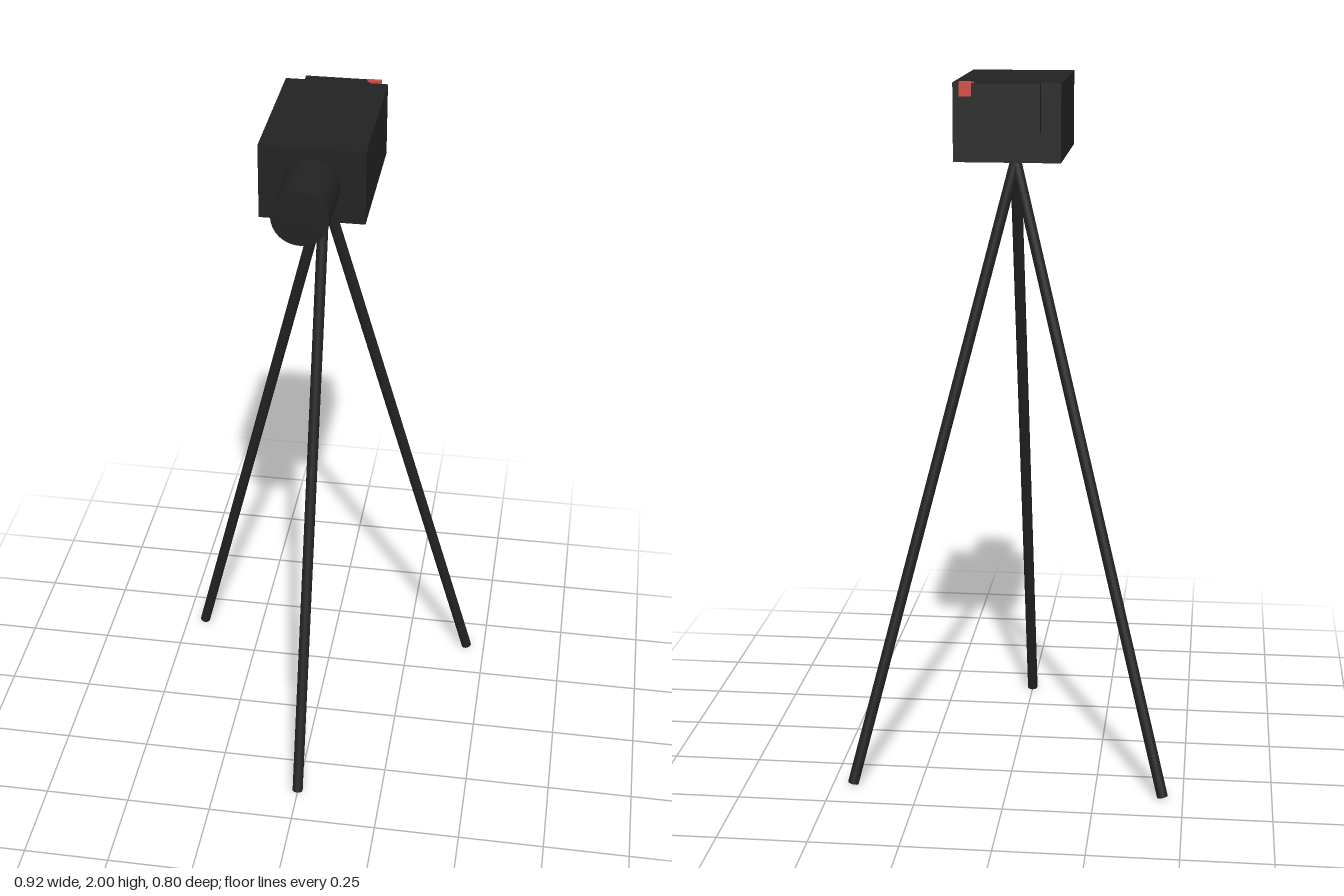
import * as THREE from 'three';

export function createModel() {
  const model = new THREE.Group();
  const black = new THREE.MeshStandardMaterial({ color: 0x222222 });
  black.name = 'matt black';
  const red = new THREE.MeshStandardMaterial({ color: 0xd04a44 });
  red.name = 'signal red';

  const add = (name, geometry, material, x, y, z) => {
    const mesh = new THREE.Mesh(geometry, material);
    mesh.name = name;
    mesh.position.set(x, y, z);
    model.add(mesh);
    return mesh;
  };

  // Box from its low and high corners
  const box = (name, material, lo, hi) => add(
    name,
    new THREE.BoxGeometry(hi[0] - lo[0], hi[1] - lo[1], hi[2] - lo[2]),
    material,
    (lo[0] + hi[0]) / 2, (lo[1] + hi[1]) / 2, (lo[2] + hi[2]) / 2
  );

  // Camera body, rear screen and record light
  box('cameraBody', black, [-0.143, 1.788, -0.352], [0.143, 1.996, 0.09]);
  box('rearScreen', black, [-0.09, 1.868, -0.378], [0.09, 1.996, -0.352]);
  box('recordLight', red, [0.085, 1.962, -0.372], [0.124, 2, -0.36]);

  // Lens barrel
  const lens = new THREE.CylinderGeometry(0.076, 0.076, 0.208, 32);
  lens.rotateX(Math.PI / 2);
  add('lensBarrel', lens, black, 0, 1.893, 0.184);

  // Three tripod legs spreading evenly from one apex
  const apex = new THREE.Vector3(0, 1.766, -0.128);
  const up = new THREE.Vector3(0, 1, 0);
  ['frontLeg', 'leftLeg', 'rightLeg'].forEach((name, i) => {
    const angle = i * Math.PI * 2 / 3;
    const foot = new THREE.Vector3(
      Math.sin(angle) * 0.511, 0.009, apex.z + Math.cos(angle) * 0.511);
    const along = apex.clone().sub(foot);
    const middle = apex.clone().add(foot).multiplyScalar(0.5);
    const leg = add(name, new THREE.CylinderGeometry(0.0155, 0.0155, along.length(), 16),
      black, middle.x, middle.y, middle.z);
    leg.quaternion.setFromUnitVectors(up, along.normalize());
  });

  return model;
}
